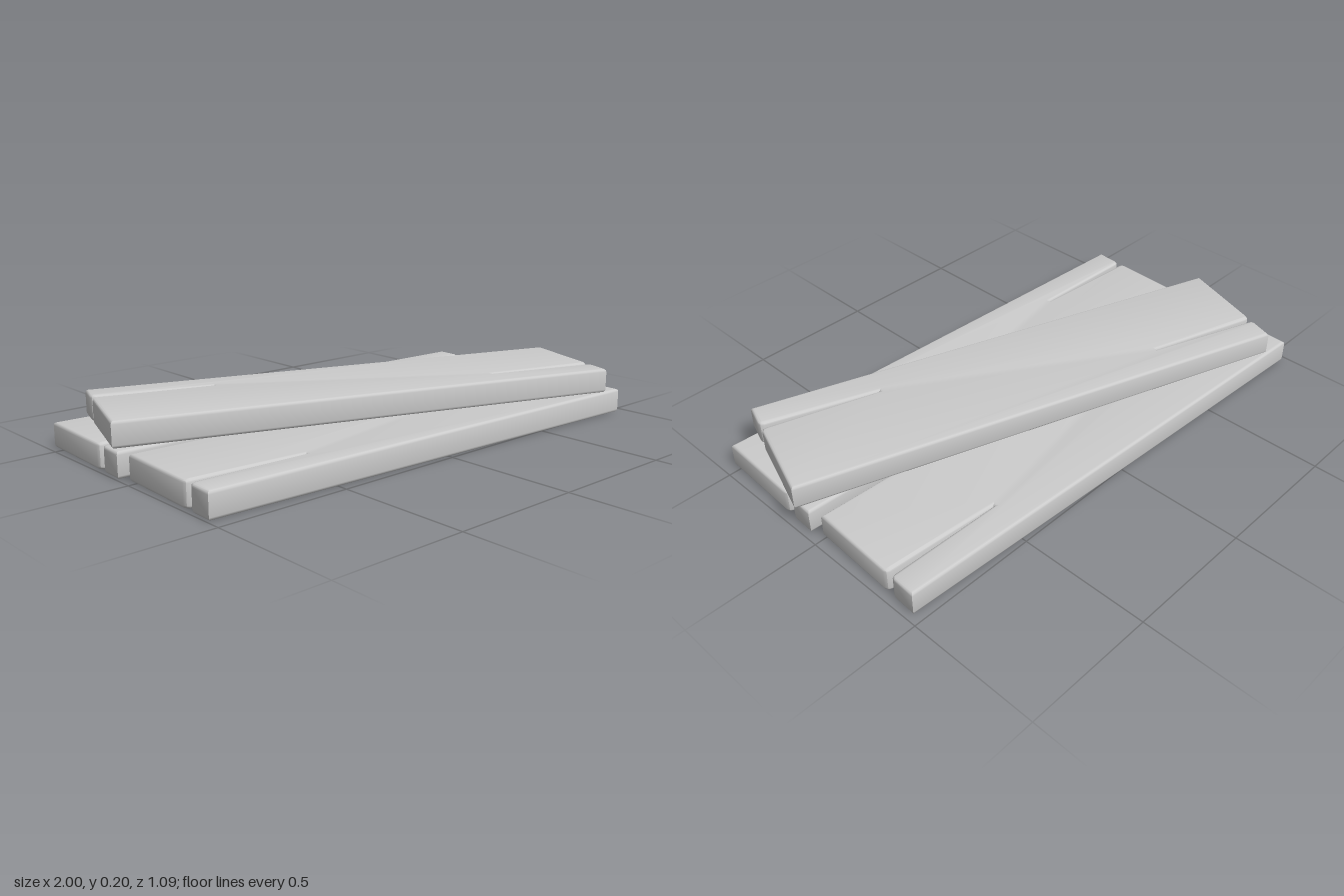
import * as THREE from 'three';
import { toCreasedNormals } from 'three/addons/utils/BufferGeometryUtils.js';

const LENGTH = 1.95, WIDTH = 0.478, THICK = 0.096, BEVEL = 0.012;

// Plank outline with a tapering split at each end, on opposite sides
function plankGeometry() {
  const L = LENGTH / 2, W = WIDTH / 2, r = 0.018;
  const a = -W + 0.107, b = a + 0.02, m = (a + b) / 2;
  const half = [
    [L, -W],
    [L, a - r], [L - 0.3 * r, a - 0.3 * r], [L - r, a],             // rounded lip
    [L - 0.45, m - 0.001], [L - 0.45, m + 0.001],                   // end of the split
    [L - r, b], [L - 0.3 * r, b + 0.3 * r], [L, b + r],             // rounded lip
    [L, W],
  ];
  const outline = [...half, ...half.map(([x, y]) => [-x, -y])];
  const shape = new THREE.Shape(outline.map(([x, y]) => new THREE.Vector2(x, y)));
  const geo = new THREE.ExtrudeGeometry(shape, {
    depth: THICK - 2 * BEVEL,
    bevelThickness: BEVEL, bevelSize: BEVEL, bevelOffset: -BEVEL, bevelSegments: 3,
  });
  geo.center();
  geo.rotateX(Math.PI / 2);
  return toCreasedNormals(geo, 0.6);
}

export function createModel() {
  const group = new THREE.Group();
  group.name = 'plankPile';
  const material = new THREE.MeshStandardMaterial({ color: 0xcccccc });
  const geometry = plankGeometry();

  function addPlank(name, x, y, z, degrees, flipped) {
    const plank = new THREE.Mesh(geometry, material);
    plank.name = name;
    plank.position.set(x, y, z);
    plank.rotation.order = 'YXZ';
    plank.rotation.set(flipped ? Math.PI : 0, -THREE.MathUtils.degToRad(degrees), 0);
    group.add(plank);
  }

  // Two planks side by side, and one turned over and laid across them
  addPlank('backPlank', -0.01, THICK / 2, -0.269, 2.5, false);
  addPlank('frontPlank', -0.01, THICK / 2, 0.25, 2.5, false);
  addPlank('topPlank', 0, 0.101 + THICK / 2, 0, 19, true);
  return group;
}
